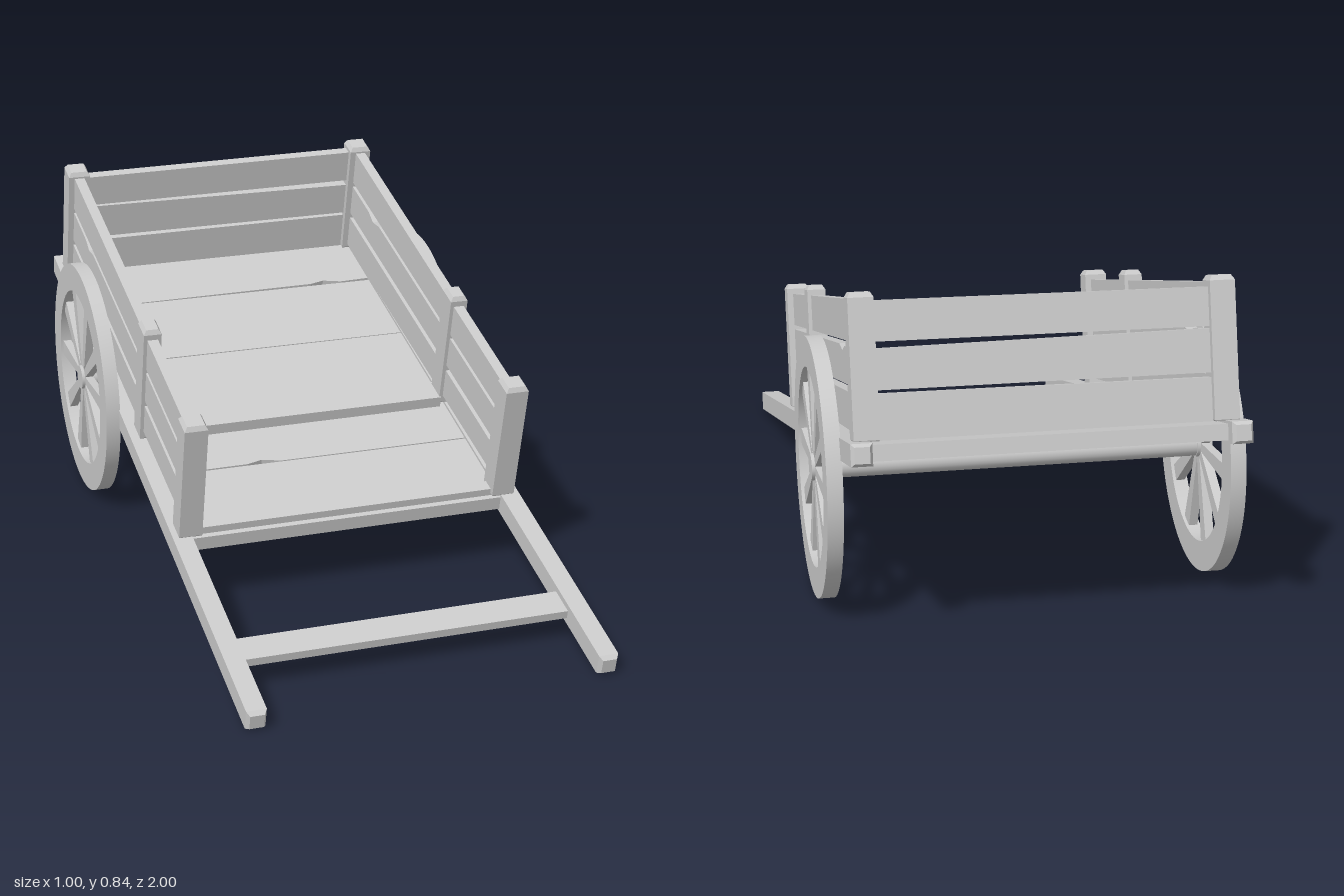
import * as THREE from 'three';
import { toCreasedNormals } from 'three/addons/utils/BufferGeometryUtils.js';

const material = new THREE.MeshStandardMaterial({ color: 0xcccccc });

function add(parent, name, geometry, x = 0, y = 0, z = 0) {
  const mesh = new THREE.Mesh(geometry, material);
  mesh.name = name;
  mesh.position.set(x, y, z);
  parent.add(mesh);
  return mesh;
}

// Upright square bar with chamfered ends
function chamferBar(w, h, d, top, bottom) {
  const geo = new THREE.BoxGeometry(w, h, d, 1, 3, 1);
  const p = geo.attributes.position;
  for (let i = 0; i < p.count; i++) {
    const y = p.getY(i), c = y > 0 ? top : bottom;
    if (Math.abs(y) > h * 0.4) {
      p.setX(i, p.getX(i) - Math.sign(p.getX(i)) * c * 0.6);
      p.setZ(i, p.getZ(i) - Math.sign(p.getZ(i)) * c * 0.6);
    } else p.setY(i, Math.sign(y) * (h / 2 - c));
  }
  const flat = geo.toNonIndexed();
  flat.computeVertexNormals();
  return flat;
}

// Rough plank: u runs along, v across; lower and upper edges may slope, the upper may have a notch
function plank(u0, u1, low, high, thickness, notch) {
  const pts = [[u0, low[0]], [u1, low[1]], [u1, high[1]]];
  if (notch !== undefined) {
    const v = (high[0] + high[1]) / 2;
    pts.push([notch + 0.06, v], [notch + 0.01, v - 0.014], [notch - 0.03, v - 0.003]);
  }
  pts.push([u0, high[0]]);
  const shape = new THREE.Shape(pts.map(([u, v]) => new THREE.Vector2(u, v)));
  const geo = new THREE.ExtrudeGeometry(shape, { depth: thickness, bevelEnabled: false });
  return geo.translate(0, 0, -thickness / 2);
}

function createWheel() {
  const wheel = new THREE.Group();
  wheel.name = 'wheel';

  // Rim
  const rim = new THREE.Shape().absarc(0, 0, 0.318, 0, Math.PI * 2);
  rim.holes.push(new THREE.Path().absarc(0, 0, 0.243, 0, Math.PI * 2, true));
  const rimGeo = new THREE.ExtrudeGeometry(rim, { depth: 0.038, bevelEnabled: false, curveSegments: 48 });
  rimGeo.translate(0, 0, -0.019).rotateY(Math.PI / 2);
  add(wheel, 'rim', toCreasedNormals(rimGeo, 0.6));

  // Spokes widening towards the rim
  const spoke = new THREE.Shape([[0.02, -0.01], [0.25, -0.022], [0.25, 0.022], [0.02, 0.01]]
    .map(([x, y]) => new THREE.Vector2(x, y)));
  const spokeGeo = new THREE.ExtrudeGeometry(spoke, { depth: 0.022, bevelEnabled: false });
  spokeGeo.translate(0, 0, -0.011);
  for (let i = 0; i < 10; i++) {
    const geo = spokeGeo.clone().rotateZ(i * Math.PI / 5).rotateY(Math.PI / 2);
    add(wheel, 'spoke', geo);
  }

  // Hub
  const hub = new THREE.CylinderGeometry(0.033, 0.033, 0.038, 24).rotateZ(Math.PI / 2);
  add(wheel, 'hub', hub);
  return wheel;
}

export function createModel() {
  const model = new THREE.Group();
  model.name = 'handcart';

  // Tilted body resting on its shafts
  const body = new THREE.Group();
  body.name = 'body';
  body.position.y = 0.265;
  body.rotation.x = 0.236;
  model.add(body);

  // Per side: shaft, posts, side planks
  const sidePlanks = [
    { low: [0.036, 0.058], high: [0.128, 0.136] },
    { low: [0.144, 0.153], high: [0.234, 0.238], notch: -0.72 },
    { low: [0.247, 0.25], high: [0.345, 0.335] },
  ];
  for (const s of [1, -1]) {
    add(body, 'shaft', chamferBar(0.05, 2.045, 0.052, 0.012, 0.012).rotateX(Math.PI / 2), s * 0.44, 0, 0);
    for (const z of [0.329, -0.93]) {
      add(body, 'cornerPost', chamferBar(0.06, 0.337, 0.062, 0.012, 0.003), s * 0.42, 0.193, z);
    }
    add(body, 'middlePost', chamferBar(0.047, 0.337, 0.062, 0.012, 0.003), s * 0.42, 0.197, -0.098);
    for (const { low, high, notch } of sidePlanks) {
      const geo = plank(-0.92, 0.325, low, high, 0.028, notch).rotateY(-Math.PI / 2);
      add(body, 'sidePlank', geo, s * 0.42);
    }
  }

  // Tailboard planks
  const backPlanks = [
    { low: [0.024, 0.024], high: [0.126, 0.13] },
    { low: [0.137, 0.138], high: [0.239, 0.232] },
    { low: [0.244, 0.248], high: [0.335, 0.341] },
  ];
  for (const { low, high } of backPlanks) {
    add(body, 'backPlank', plank(-0.4, 0.4, low, high, 0.028), 0, 0, -0.93);
  }

  // Floor planks between the shafts
  const floorPlanks = [
    { low: [-0.98, -0.98], high: [-0.724, -0.731], notch: 0.27 },
    { low: [-0.722, -0.72], high: [-0.437, -0.434] },
    { low: [-0.433, -0.431], high: [-0.168, -0.165] },
    { low: [-0.163, -0.162], high: [0.087, 0.09], notch: -0.16 },
    { low: [0.091, 0.094], high: [0.36, 0.36] },
  ];
  for (const { low, high, notch } of floorPlanks) {
    add(body, 'floorPlank', plank(-0.416, 0.416, low, high, 0.038, notch).rotateX(Math.PI / 2));
  }

  // Raised battens across the floor
  add(body, 'middleBatten', new THREE.BoxGeometry(0.8, 0.032, 0.075), 0, 0.033, -0.1);
  add(body, 'frontBatten', new THREE.BoxGeometry(0.8, 0.022, 0.035), 0, 0.028, 0.328);

  // Handle bar between the shafts
  add(body, 'handleBar', new THREE.BoxGeometry(0.84, 0.022, 0.078), 0, 0, 0.782);

  // Axle and wheels
  const axle = new THREE.CylinderGeometry(0.03, 0.03, 0.93, 24).rotateZ(Math.PI / 2);
  add(model, 'axle', axle, 0, 0.321, -0.515);
  for (const s of [1, -1]) {
    const wheel = createWheel();
    wheel.position.set(s * 0.481, 0.321, -0.515);
    model.add(wheel);
  }
  return model;
}
